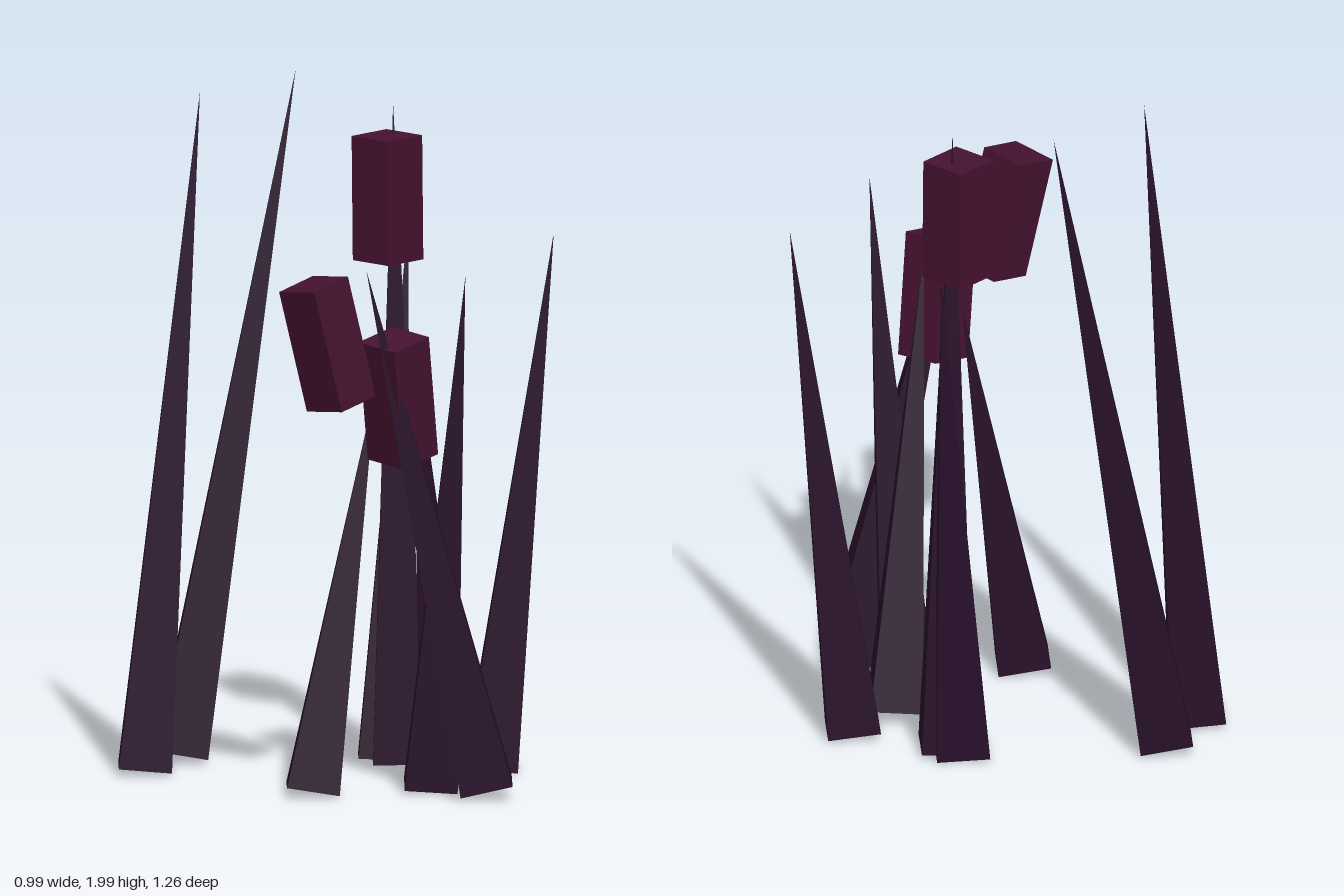
import * as THREE from 'three';

const UP = new THREE.Vector3(0, 1, 0);

export function createModel() {
  const model = new THREE.Group();
  const stalkMat = new THREE.MeshStandardMaterial({ color: 0x28102a, flatShading: true });
  stalkMat.name = 'dark purple stalk';
  const headMat = new THREE.MeshStandardMaterial({ color: 0x451230, flatShading: true });
  headMat.name = 'dark maroon head';

  // Leaning four-sided spikes: base centre, tip, and optional block head centre
  const spikes = [
    { base: [-0.33, 0.018, -0.474], tip: [-0.185, 1.975, -0.396] },
    { base: [-0.129, 0.03, -0.525], tip: [0.194, 1.995, -0.383] },
    { base: [0.283, 0.017, -0.112], tip: [0.402, 1.55, -0.136] },
    { base: [0.286, 0.014, -0.057], tip: [0.253, 1.93, -0.05], head: [0.233, 1.657, -0.053] },
    { base: [0.384, 0.019, 0.215], tip: [0.482, 1.575, 0.37] },
    { base: [0.224, 0.031, 0.195], tip: [-0.045, 1.345, 0.32], head: [-0.132, 1.166, 0.347] },
    { base: [-0.273, 0.022, 0.143], tip: [-0.099, 1.175, 0.223] },
    { base: [0.05, 0.036, 0.521], tip: [-0.273, 1.555, 0.357], head: [-0.386, 1.35, 0.311] },
    { base: [0.018, 0.02, 0.331], tip: [-0.025, 1.525, 0.511] },
  ];

  for (const { base, tip, head } of spikes) {
    const a = new THREE.Vector3(...base);
    const b = new THREE.Vector3(...tip);
    const axis = b.clone().sub(a);
    const height = axis.length();
    const stalk = new THREE.Mesh(new THREE.ConeGeometry(0.108, height, 4), stalkMat);
    stalk.name = 'stalk';
    stalk.position.copy(a).add(b).multiplyScalar(0.5);
    stalk.quaternion.setFromUnitVectors(UP, axis.normalize());
    model.add(stalk);

    // Block head shares the lean of its stalk
    if (head) {
      const block = new THREE.Mesh(new THREE.BoxGeometry(0.143, 0.362, 0.143), headMat);
      block.name = 'head';
      block.position.set(...head);
      block.quaternion.copy(stalk.quaternion);
      model.add(block);
    }
  }
  return model;
}
